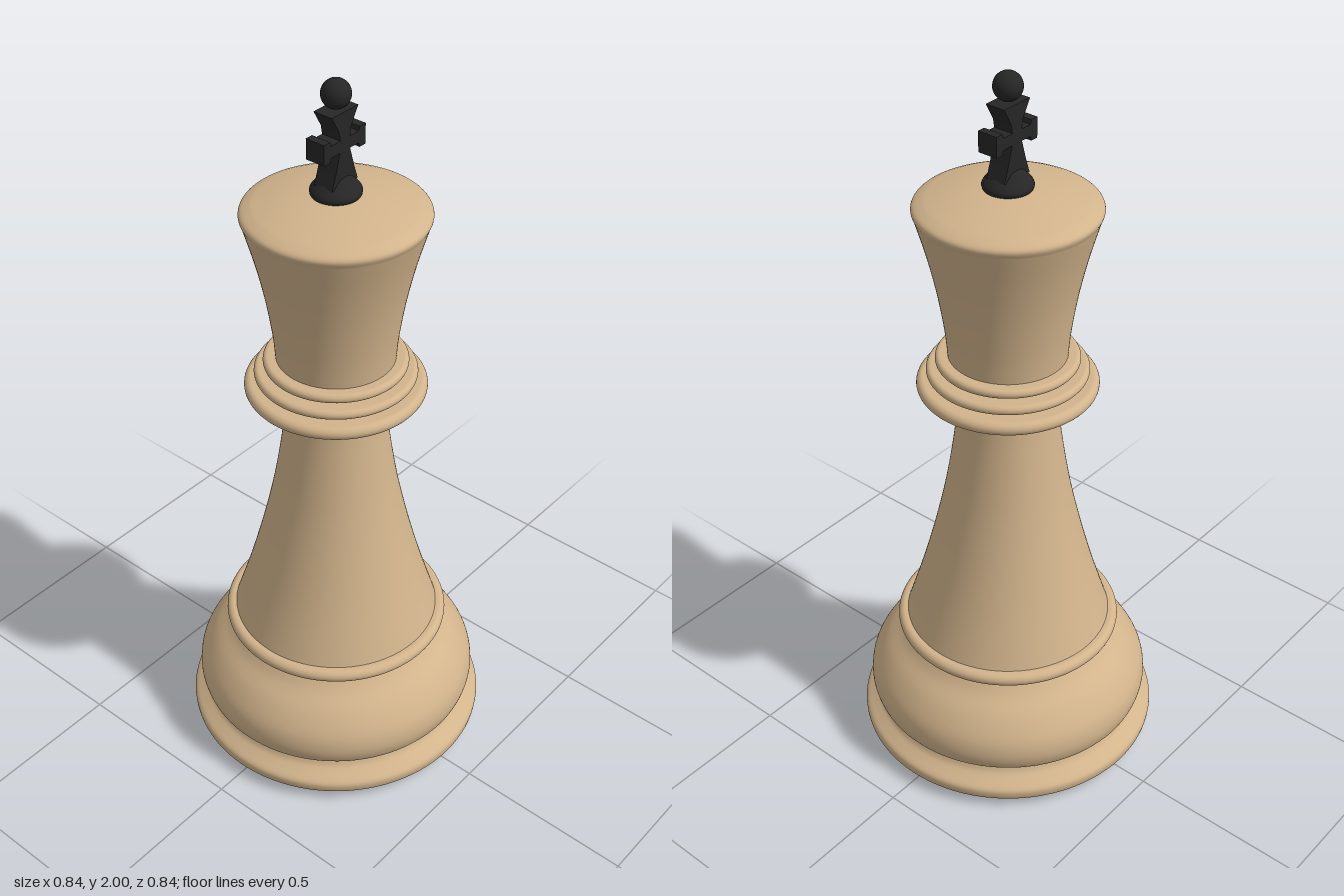
import * as THREE from 'three';

const wood = new THREE.MeshStandardMaterial({ color: 0xd2b48c, side: THREE.DoubleSide });
const ebony = new THREE.MeshStandardMaterial({ color: 0x262626 });
const felt = new THREE.MeshStandardMaterial({ color: 0x16301f });

// Smooth curve through [radius, height] points
const smooth = (pts, n = 24) =>
  new THREE.SplineCurve(pts.map(([r, y]) => new THREE.Vector2(r, y))).getPoints(n);

// Straight profile through [radius, height] points
const straight = (pts) => pts.map(([r, y]) => new THREE.Vector2(r, y));

// Rounded bead profile: closes onto the inner radius below and above
function bead(inner, outer, y0, y1) {
  const h = (y1 - y0) / 2, pts = [new THREE.Vector2(inner, y0)];
  for (let i = 0; i <= 12; i++) {
    const a = -Math.PI / 2 + (Math.PI * i) / 12;
    pts.push(new THREE.Vector2(outer - h + h * Math.cos(a), y0 + h + h * Math.sin(a)));
  }
  pts.push(new THREE.Vector2(inner, y1));
  return pts;
}

export function createModel() {
  const group = new THREE.Group();
  const add = (name, geometry, material) => {
    const mesh = new THREE.Mesh(geometry, material);
    mesh.name = name;
    group.add(mesh);
    return mesh;
  };
  const turn = (name, profile, material = wood, segments = 96) =>
    add(name, new THREE.LatheGeometry(profile, segments), material);

  // Felt pad underneath
  add('feltPad', new THREE.CylinderGeometry(0.366, 0.366, 0.03, 96), felt).position.y = 0.015;

  // Foot: underside, rounded rim and the slope up to the groove
  turn('footUnderside', straight([[0.33, 0.018], [0.39, 0.02]]));
  turn('foot', smooth([[0.39, 0.02], [0.412, 0.028], [0.418, 0.045], [0.415, 0.062],
    [0.395, 0.078], [0.378, 0.092], [0.37, 0.108]]));
  turn('bulge', smooth([[0.37, 0.108], [0.386, 0.125], [0.395, 0.165], [0.385, 0.215],
    [0.35, 0.27], [0.305, 0.315], [0.28, 0.35]], 32));
  turn('lowerBead', bead(0.27, 0.311, 0.35, 0.388));

  // Tapering stem
  turn('stem', smooth([[0.285, 0.386], [0.24, 0.53], [0.2, 0.68], [0.167, 0.83],
    [0.143, 0.98], [0.132, 1.08], [0.13, 1.14]], 32));

  // Three stacked collar rings
  turn('lowerCollar', bead(0.12, 0.238, 1.131, 1.168));
  turn('middleCollar', bead(0.12, 0.212, 1.177, 1.203));
  turn('upperCollar', bead(0.12, 0.188, 1.21, 1.236));
  turn('collarCore', straight([[0.19, 1.16], [0.17, 1.178], [0.17, 1.2], [0.155, 1.21], [0.155, 1.24]]));

  // Flared head with a rounded rim and a domed top
  turn('head', smooth([[0.155, 1.23], [0.162, 1.31], [0.179, 1.42], [0.203, 1.53], [0.232, 1.635]]));
  turn('headTop', [
    ...smooth([[0.232, 1.635], [0.237, 1.65], [0.23, 1.662], [0.205, 1.674]], 12),
    ...smooth([[0.205, 1.674], [0.14, 1.691], [0.07, 1.702], [0, 1.706]], 12).slice(1),
  ]);

  // Finial: turned foot, flared cross and ball
  turn('finialFoot', smooth([[0.056, 1.695], [0.064, 1.708], [0.062, 1.72], [0.045, 1.74],
    [0.03, 1.755], [0, 1.758]], 20), ebony, 48);

  const half = [[0.047, 1.735], [0.034, 1.772], [0.018, 1.826], [0.05, 1.826], [0.053, 1.814],
    [0.075, 1.814], [0.075, 1.868], [0.053, 1.868], [0.05, 1.857], [0.017, 1.857],
    [0.022, 1.882], [0.047, 1.926]];
  const outline = [...half, ...half.map(([x, y]) => [-x, y]).reverse()];
  const cross = new THREE.ExtrudeGeometry(new THREE.Shape(straight(outline)), {
    depth: 0.056, bevelEnabled: false,
  });
  add('cross', cross.translate(0, 0, -0.028), ebony);
  add('finialBall', new THREE.SphereGeometry(0.037, 32, 20), ebony).position.y = 1.963;

  return group;
}
